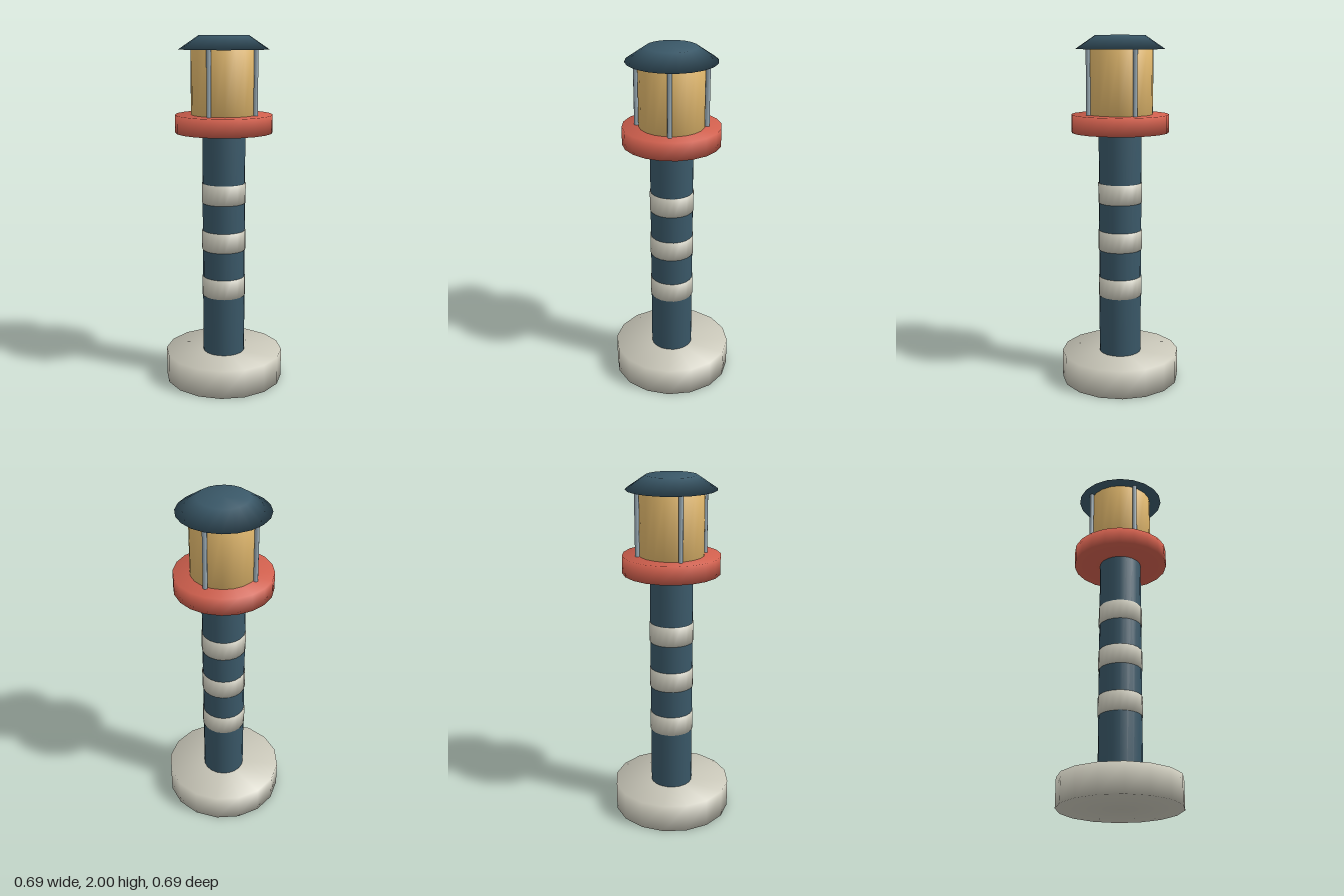
import * as THREE from 'three';
import { mergeVertices } from 'three/addons/utils/BufferGeometryUtils.js';

const material = (name, color) => {
  const m = new THREE.MeshStandardMaterial({ color });
  m.name = name;
  return m;
};

export function createModel() {
  const stone = material('pale stone', 0xc8c6b8);
  const navy = material('slate blue', 0x3a5868);
  const red = material('coral red', 0xcf5f4d);
  const glass = material('amber glass', 0xe0b76c);
  const steel = material('grey steel', 0x9aabb5);

  const group = new THREE.Group();
  group.name = 'lighthouse';

  // Closed drum from y0 to y1, with normals blended softly over its rims
  function drum(name, mat, rBottom, rTop, y0, y1, sides, x = 0, z = 0) {
    let geo = new THREE.CylinderGeometry(rTop, rBottom, y1 - y0, sides);
    geo.deleteAttribute('normal');
    geo.deleteAttribute('uv');
    geo = mergeVertices(geo, 1e-5);
    geo.computeVertexNormals();
    const mesh = new THREE.Mesh(geo, mat);
    mesh.name = name;
    mesh.position.set(x, (y0 + y1) / 2, z);
    group.add(mesh);
  }

  // Foot and shaft
  drum('base', stone, 0.343, 0.343, 0, 0.165, 16);
  drum('tower', navy, 0.122, 0.122, 0.165, 1.465, 20);

  // Painted collars around the shaft
  for (let i = 0; i < 3; i++) {
    const y = 0.51 + i * 0.276;
    drum('band', stone, 0.126, 0.126, y, y + 0.114, 20);
  }

  // Gallery, lamp room and roof
  drum('gallery', red, 0.275, 0.275, 1.465, 1.566, 20);
  drum('lantern', glass, 0.183, 0.183, 1.566, 1.924, 20);
  drum('roof', navy, 0.252, 0.14, 1.924, 2, 20);

  // Four posts on the diagonals
  for (const sx of [-1, 1]) {
    for (const sz of [-1, 1]) {
      drum('post', steel, 0.013, 0.013, 1.566, 1.924, 8, sx * 0.137, sz * 0.137);
    }
  }
  return group;
}
